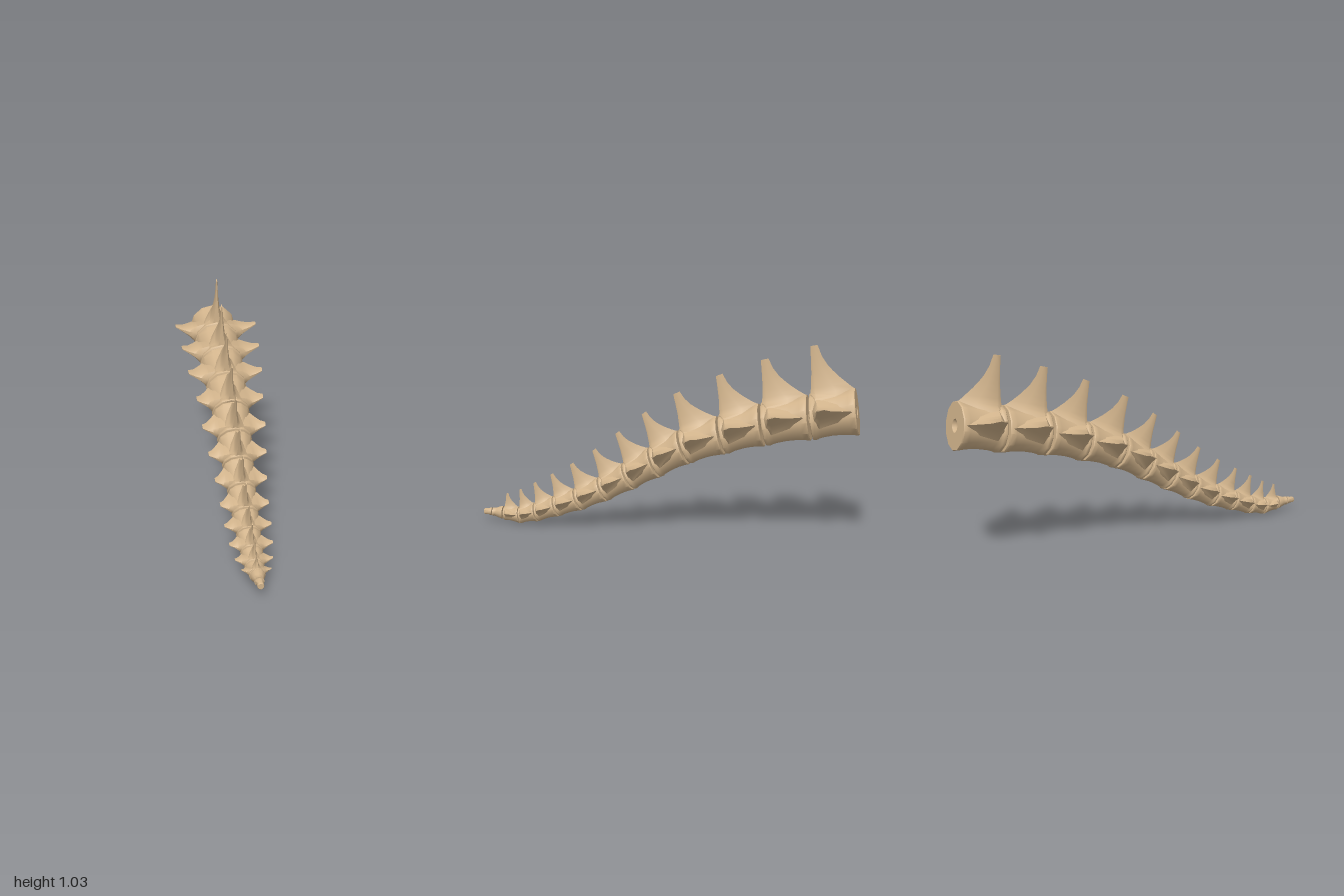
import * as THREE from 'three';
import { toCreasedNormals } from 'three/addons/utils/BufferGeometryUtils.js';

// Joints between vertebrae: z and y of the lowest point, tilt in degrees, radius
const JOINTS = [
  [-0.995, 0.583, 8, 0.128], [-0.756, 0.545, 8, 0.125], [-0.523, 0.503, 11, 0.118],
  [-0.319, 0.449, 15, 0.108], [-0.131, 0.388, 22, 0.099], [0.024, 0.307, 24, 0.09],
  [0.164, 0.233, 27, 0.081], [0.308, 0.16, 25, 0.073], [0.448, 0.1, 24, 0.067],
  [0.576, 0.058, 20, 0.061], [0.694, 0.022, 15, 0.055], [0.794, 0.005, 9, 0.048],
  [0.887, 0.019, 4, 0.038],
];
// Half width over the side wings, one per vertebra
const SPANS = [0.23, 0.215, 0.2, 0.176, 0.164, 0.148, 0.131, 0.121, 0.115, 0.105, 0.09, 0.07];

// Centrum profile: position along the bone, radius
const BODY = [
  [0.09, 0.07], [0.06, 0.18], [0, 0.28], [0, 0.97], [0.025, 1], [0.15, 0.95], [0.35, 0.9],
  [0.55, 0.89], [0.75, 0.92], [0.85, 0.96], [0.865, 0.99], [0.93, 1.0], [0.945, 0.97],
];
// Neural spine levels: height, back edge, front edge, half thickness
const SPINE = [
  [0.5, 0.02, 0.93, 0.75], [0.85, 0.02, 0.92, 0.5], [1.0, 0.03, 0.91, 0.3], [1.2, 0.15, 0.89, 0.22],
  [1.5, 0.3, 0.87, 0.15], [1.76, 0.41, 0.85, 0.11], [2.0, 0.5, 0.84, 0.08],
  [2.4, 0.6, 0.825, 0.05], [2.85, 0.66, 0.81, 0.03],
];
// Side wing levels: distance out, back edge, front edge, top, underside
const WING = [
  [0.4, 0.01, 0.92, 0.85, -0.4], [0.85, 0.03, 0.88, 0.68, -0.35], [1.0, 0.1, 0.84, 0.6, -0.08],
  [1.2, 0.25, 0.8, 0.53, 0.14], [1.5, 0.45, 0.76, 0.55, 0.38], [1.8, 0.58, 0.73, 0.66, 0.6],
];
// Blade cross-section: along its chord, across its thickness (-1 to 1)
const BLADE = [[0, 0], [0.4, 0.65], [0.87, 1], [1, 0.5], [1, -0.5], [0.87, -1], [0.4, -0.65]];

// Skins a closed surface over rings of points and caps both ends
function loft(rings) {
  const n = rings[0].length;
  const points = rings.flat();
  const index = [];
  for (let k = 0; k < rings.length - 1; k++) {
    for (let j = 0; j < n; j++) {
      const a = k * n + j, b = k * n + (j + 1) % n;
      index.push(a, b, b + n, a, b + n, a + n);
    }
  }
  const mean = (ring) => ring.reduce((s, p) => s.add(p), new THREE.Vector3()).divideScalar(n);
  const first = points.length, last = first + 1, start = (rings.length - 1) * n;
  points.push(mean(rings[0]), mean(rings[rings.length - 1]));
  for (let j = 0; j < n; j++) {
    const next = (j + 1) % n;
    index.push(first, next, j, last, start + j, start + next);
  }
  // Turn the faces outward if the enclosed volume is negative
  let volume = 0;
  const cross = new THREE.Vector3();
  for (let f = 0; f < index.length; f += 3) {
    volume += points[index[f]].dot(cross.crossVectors(points[index[f + 1]], points[index[f + 2]]));
  }
  if (volume < 0) index.reverse();
  const geometry = new THREE.BufferGeometry().setFromPoints(points);
  geometry.setIndex(index);
  return toCreasedNormals(geometry, 0.85);
}

// Maps bone space (x, height, 0..1 along) to the curved tail
function boneSpace(i) {
  const ends = [JOINTS[i], JOINTS[i + 1]].map(([z, y, deg, r]) => {
    const a = THREE.MathUtils.degToRad(deg);
    return { z: z + Math.sin(a) * r * 0.96, y: y + Math.cos(a) * r * 0.96, a, r };
  });
  return (x, h, t) => {
    const [z, y, a, r] = ['z', 'y', 'a', 'r'].map((k) => THREE.MathUtils.lerp(ends[0][k], ends[1][k], t));
    return new THREE.Vector3(x * r, y + Math.cos(a) * h * r * 0.96, z + Math.sin(a) * h * r * 0.96);
  };
}

export function createModel() {
  const model = new THREE.Group();
  model.name = 'tailBones';
  const bone = new THREE.MeshStandardMaterial({ color: 0xd2b48c });
  bone.name = 'bone';

  const add = (parent, name, geometry) => {
    const mesh = new THREE.Mesh(geometry, bone);
    mesh.name = name;
    parent.add(mesh);
    return mesh;
  };

  SPANS.forEach((span, i) => {
    const vertebra = new THREE.Group();
    vertebra.name = `vertebra${i + 1}`;
    model.add(vertebra);
    const place = boneSpace(i);
    const lean = -0.011 * i; // smaller bones carry their tips further back

    // Spool-shaped centrum with a dimple in its rear face
    add(vertebra, 'centrum', loft(BODY.map(([t, r]) =>
      Array.from({ length: 12 }, (_, j) => {
        const a = (j / 12) * Math.PI * 2;
        return place(Math.sin(a) * r, Math.cos(a) * r, t);
      }))));

    // Upright blade
    const tall = i === 0 ? 1.04 : 1;
    add(vertebra, 'neuralSpine', loft(SPINE.map(([h, back, front, w]) => {
      const shift = lean * Math.max(0, h - 1) / 1.85;
      return BLADE.map(([c, s]) =>
        place(s * w, h > 1 ? h * tall : h, THREE.MathUtils.lerp(back, front, c) + shift));
    })));

    // Paired side blades, reaching out to the span of this bone
    const r = THREE.MathUtils.lerp(JOINTS[i][3], JOINTS[i + 1][3], 0.65);
    const reach = span / r;
    const drop = Math.min(0.15, 0.025 * i);
    for (const side of [1, -1]) {
      add(vertebra, side > 0 ? 'leftWing' : 'rightWing', loft(WING.map(([x, back, front, top, low]) => {
        const out = Math.max(0, x - 0.85) / 0.95;
        const dist = x > 0.85 ? 0.85 + out * (reach - 0.85) : x;
        const mid = (top + low) / 2 - drop * out, half = (top - low) / 2;
        return BLADE.map(([c, s]) =>
          place(side * dist, mid + s * half, THREE.MathUtils.lerp(back, front, c) + lean * 0.5 * out));
      })));
    }
  });

  // Two small plain bones at the tip
  const tipBone = (name, profile, y) => {
    const points = profile.map(([r, z]) => new THREE.Vector2(r, z));
    const geometry = new THREE.LatheGeometry(points, 12).rotateX(Math.PI / 2);
    add(model, name, toCreasedNormals(geometry, 0.85)).position.y = y;
  };
  tipBone('tailTipInner', [[0, 0.893], [0.035, 0.893], [0.035, 0.902], [0.026, 0.925],
    [0.022, 0.94], [0.024, 0.95], [0, 0.95]], 0.059);
  tipBone('tailTipOuter', [[0, 0.956], [0.021, 0.956], [0.021, 0.962], [0.016, 0.98],
    [0.017, 0.995], [0.014, 1], [0, 1]], 0.06);

  return model;
}
